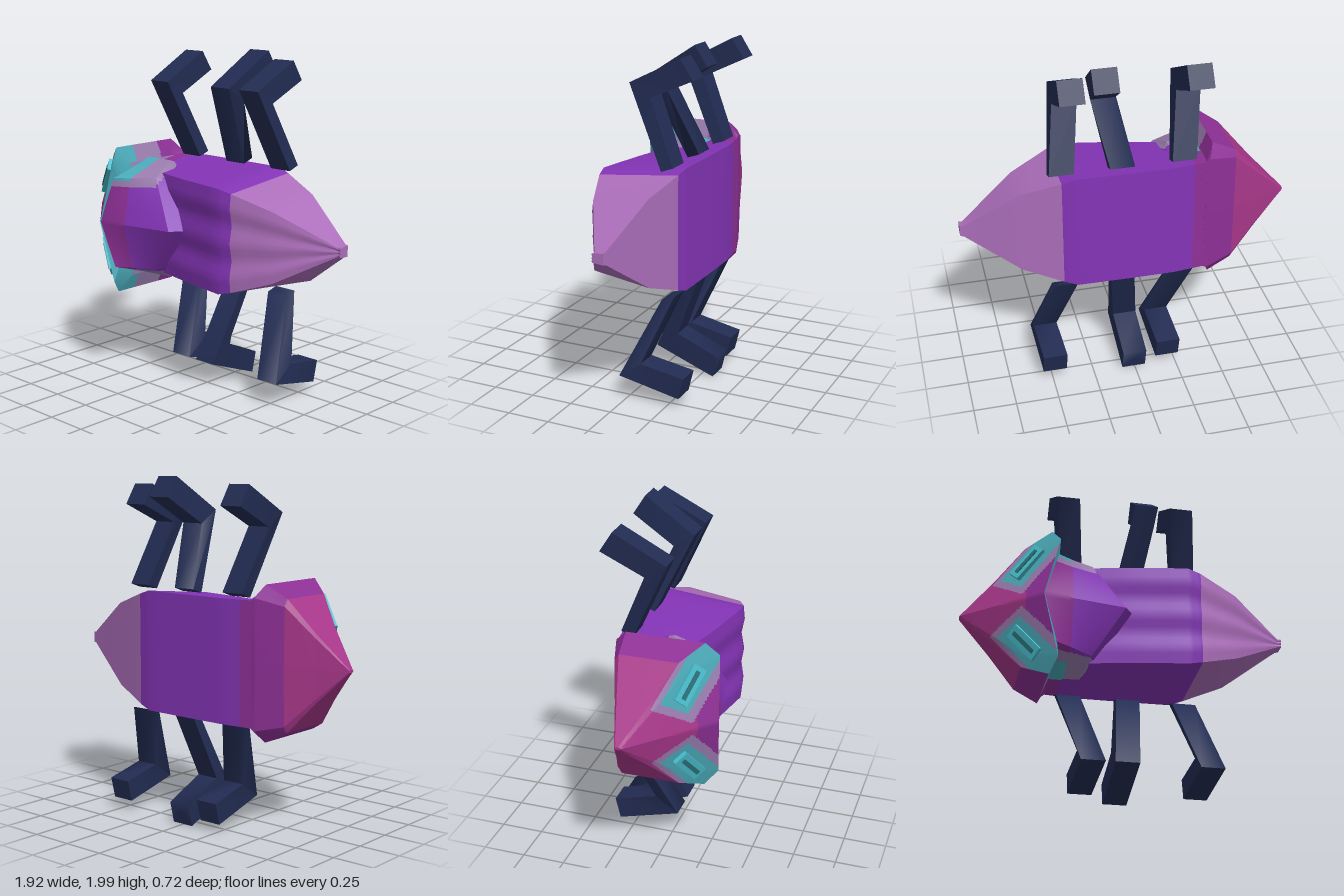
import * as THREE from 'three';
import { toCreasedNormals } from 'three/addons/utils/BufferGeometryUtils.js';

const MID = 0.98; // height of the body axis

const COLORS = {
  purple: 0x8434b6, lavender: 0xac6eba, plum: 0x8e3096, magenta: 0xa8378a,
  teal: 0x4aa9b8, mauve: 0x9a7cae, eyeTeal: 0x48bccb, slit: 0x2a7078, navy: 0x222c52,
};

// Skin a list of closed rings, each cell divided n by n; paint(centre, normal) picks a colour name
function loft(name, rings, n, crease, paint, mats) {
  const buckets = {};
  const addTri = (a, b, c) => {
    const normal = b.clone().sub(a).cross(c.clone().sub(a));
    if (normal.length() < 1e-10) return;
    const centre = a.clone().add(b).add(c).divideScalar(3);
    const key = paint(centre, normal.normalize());
    (buckets[key] ??= []).push(...a, ...b, ...c);
  };
  const count = rings[0].length;
  for (let i = 0; i < rings.length - 1; i++) {
    for (let j = 0; j < count; j++) {
      const k = (j + 1) % count;
      const at = (s, t) => rings[i][j].clone().lerp(rings[i][k], t)
        .lerp(rings[i + 1][j].clone().lerp(rings[i + 1][k], t), s);
      for (let s = 0; s < n; s++) for (let t = 0; t < n; t++) {
        const a = at(s / n, t / n), b = at(s / n, (t + 1) / n);
        const c = at((s + 1) / n, t / n), d = at((s + 1) / n, (t + 1) / n);
        addTri(a, b, d);
        addTri(a, d, c);
      }
    }
  }
  // End caps
  [rings[0], rings[rings.length - 1]].forEach((ring, end) => {
    const centre = ring.reduce((sum, p) => sum.add(p), new THREE.Vector3()).divideScalar(count);
    for (let j = 0; j < count; j++) {
      const p = ring[j], q = ring[(j + 1) % count];
      if (end) addTri(centre, p, q); else addTri(centre, q, p);
    }
  });
  const positions = [], used = [];
  let geometry = new THREE.BufferGeometry();
  for (const [key, list] of Object.entries(buckets)) {
    geometry.addGroup(positions.length / 3, list.length / 3, used.length);
    for (const v of list) positions.push(v);
    used.push(mats[key]);
  }
  geometry.setAttribute('position', new THREE.Float32BufferAttribute(positions, 3));
  geometry = toCreasedNormals(geometry, crease);
  const mesh = new THREE.Mesh(geometry, used);
  mesh.name = name;
  return mesh;
}

// Half outline (back centre to front centre) mirrored across the body axis
function mirrorRing(half) {
  const up = half.map(([x, y, z]) => new THREE.Vector3(x, MID + y, z));
  const down = half.slice(1, -1).reverse().map(([x, y, z]) => new THREE.Vector3(x, MID - y, z));
  return [...up, ...down];
}

export function createModel() {
  const mats = {};
  for (const [name, color] of Object.entries(COLORS)) {
    mats[name] = new THREE.MeshStandardMaterial({ color });
    mats[name].name = name;
  }
  const model = new THREE.Group();
  model.name = 'beetle';

  // Abdomen and tail: x, half height at back, half height at front, back z, front z, ripple depth
  const stations = [
    [-0.46, 0.355, 0.30, -0.245, 0.10, 0],
    [-0.36, 0.355, 0.30, -0.258, 0.11, 0],
    [-0.25, 0.355, 0.30, -0.27, 0.13, 0.006],
    [0.00, 0.355, 0.30, -0.27, 0.19, 0.010],
    [0.32, 0.355, 0.30, -0.265, 0.25, 0.010],
    [0.40, 0.33, 0.28, -0.25, 0.235, 0.009],
    [0.63, 0.25, 0.20, -0.185, 0.15, 0.007],
    [0.94, 0.035, 0.025, -0.09, -0.025, 0.002],
    [0.96, 0.032, 0.025, -0.085, -0.02, 0.002],
  ];
  const abdomenRings = stations.map(([x, hb, hf, zb, zf, r]) => mirrorRing([
    [x, 0, zb], [x, hb, zb], [x, hf, zf], [x, hf * 0.7, zf + r],
    [x, hf * 0.36, zf - r], [x, 0, zf + r],
  ]));
  model.add(loft('abdomen', abdomenRings, 3, 0.6,
    (c) => (c.x > 0.4 ? 'lavender' : c.x < -0.36 ? 'plum' : 'purple'), mats));

  // Head: pointed wedge widening to a flared rim
  const headRings = [
    [[-0.96, 0, -0.075], [-0.96, 0.005, -0.075], [-0.96, 0.008, -0.07], [-0.96, 0.008, -0.05], [-0.96, 0.005, -0.04], [-0.96, 0, -0.035]],
    [[-0.78, 0, -0.14], [-0.78, 0.17, -0.135], [-0.78, 0.19, -0.125], [-0.78, 0.19, 0.06], [-0.78, 0.16, 0.082], [-0.78, 0, 0.133]],
    [[-0.62, 0, -0.20], [-0.62, 0.33, -0.195], [-0.62, 0.37, -0.17], [-0.62, 0.37, 0.165], [-0.62, 0.31, 0.187], [-0.62, 0, 0.28]],
    [[-0.46, 0, -0.25], [-0.45, 0.37, -0.248], [-0.48, 0.44, -0.18], [-0.48, 0.44, 0.27], [-0.44, 0.36, 0.34], [-0.53, 0, 0.365]],
    [[-0.43, 0, -0.25], [-0.43, 0.355, -0.25], [-0.44, 0.345, -0.17], [-0.44, 0.345, 0.20], [-0.44, 0.25, 0.29], [-0.50, 0, 0.33]],
  ].map(mirrorRing);
  const headPaint = (c, n) => {
    const h = Math.abs(c.y - MID);
    // Rim facing the tail
    if (n.x > 0.4) return c.z > 0.14 ? 'teal' : c.z > -0.06 ? 'mauve' : 'plum';
    // Patch around each eye, with a pale border
    if (n.z > 0.3) {
      const dx = c.x + 0.6, dy = h - 0.25;
      const along = 0.63 * dx + 0.77 * dy, across = 0.77 * dx - 0.63 * dy;
      if (along > -0.15 && across > -0.07 && across < 0.065) return 'teal';
      if (along > -0.19 && across > -0.09 && across < 0.105) return 'mauve';
    }
    return c.x < -0.62 ? 'magenta' : 'plum';
  };
  model.add(loft('head', headRings, 22, 0.45, headPaint, mats));

  // Chevron shield behind the head
  const shieldRings = [
    [[-0.50, 0, -0.1], [-0.45, 0.32, -0.1], [-0.445, 0.36, 0.04], [-0.445, 0.27, 0.325], [-0.53, 0, 0.362]],
    [[-0.36, 0, -0.1], [-0.36, 0.32, -0.1], [-0.36, 0.36, 0.035], [-0.36, 0.27, 0.27], [-0.36, 0, 0.33]],
    [[-0.20, 0, -0.1], [-0.28, 0.32, -0.1], [-0.27, 0.357, 0.03], [-0.23, 0.28, 0.19], [-0.05, 0, 0.27]],
    [[-0.20, 0, -0.1], [-0.26, 0.31, -0.1], [-0.25, 0.325, 0.0], [-0.20, 0.28, 0.12], [0.01, 0, 0.18]],
  ].map(mirrorRing);
  const shieldPaint = (c) => {
    const h = Math.abs(c.y - MID);
    const inset = c.y > MID ? 0 : 0.06; // the lower patch is narrower
    if (c.x < -0.36 && h > 0.255 + inset) return 'teal';
    if (c.x < -0.21 && h > 0.225 + inset && c.z > 0) return 'mauve';
    return c.x < -0.36 ? 'plum' : 'purple';
  };
  model.add(loft('shield', shieldRings, 16, 0.4, shieldPaint, mats));

  // Eyes: slim blocks on the sloping face, each with a thin dark slit
  for (const side of [1, -1]) {
    const eye = new THREE.Group();
    eye.name = side > 0 ? 'upperEye' : 'lowerEye';
    const normal = new THREE.Vector3(-0.65, 0.23 * side, 0.72).normalize();
    const along = new THREE.Vector3(0.13, 0.16 * side, 0.066);
    along.addScaledVector(normal, -along.dot(normal)).normalize();
    const across = normal.clone().cross(along);
    eye.quaternion.setFromRotationMatrix(new THREE.Matrix4().makeBasis(along, across, normal));
    eye.position.set(-0.605, MID + 0.245 * side, 0.217);
    const block = new THREE.Mesh(new THREE.BoxGeometry(0.22, 0.085, 0.05), mats.eyeTeal);
    block.name = 'eyeBlock';
    const slit = new THREE.Mesh(new THREE.BoxGeometry(0.17, 0.025, 0.008), mats.slit);
    slit.name = 'eyeSlit';
    slit.position.z = 0.027;
    eye.add(block, slit);
    model.add(eye);
  }

  // Legs: base, knee and foot; each joint is [outer z, outer y, inner z, inner y]
  const upper = [[-0.18, 1.34, -0.25, 1.365], [0.035, 1.80, -0.09, 1.725], [-0.265, 1.965, -0.34, 1.85]];
  const lower = [[-0.18, 0.605, -0.25, 0.625], [0.035, 0.15, -0.10, 0.245], [-0.325, 0.06, -0.355, 0.185]];
  const legs = [
    ['upperFrontLeg', upper, [-0.30, -0.355, -0.36], -0.005],
    ['upperMiddleLeg', upper, [0.055, 0.13, 0.16], 0.03],
    ['upperRearLeg', upper, [0.40, 0.345, 0.345], -0.015],
    ['lowerFrontLeg', lower, [-0.30, -0.185, -0.20], 0],
    ['lowerMiddleLeg', lower, [0.055, 0.01, 0.005], -0.05],
    ['lowerRearLeg', lower, [0.39, 0.50, 0.485], 0.01],
  ];
  for (const [name, joints, xs, footShift] of legs) {
    const rings = joints.map(([zo, yo, zi, yi], i) => {
      const x = xs[i], w = 0.07, dy = i === 2 ? footShift : 0;
      return [[x - w, yo + dy, zo], [x + w, yo + dy, zo], [x + w, yi + dy, zi], [x - w, yi + dy, zi]]
        .map((p) => new THREE.Vector3(...p));
    });
    if (joints === lower) rings.reverse();
    model.add(loft(name, rings, 1, 1.4, () => 'navy', mats));
  }
  return model;
}
